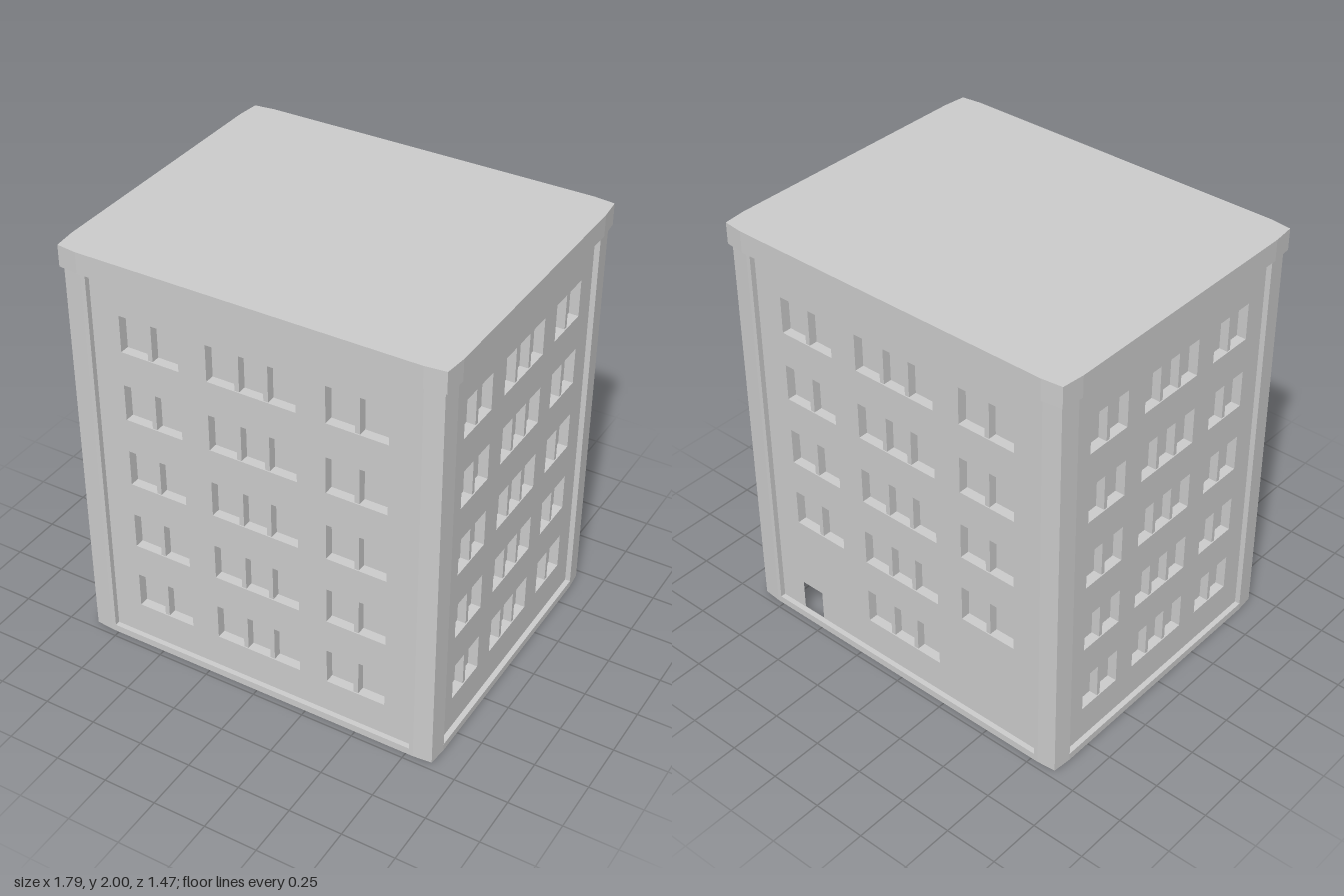
import * as THREE from 'three';
import { mergeGeometries } from 'three/addons/utils/BufferGeometryUtils.js';

const material = new THREE.MeshStandardMaterial({ color: 0xcccccc, side: THREE.DoubleSide });

const HX = 0.88, HZ = 0.72;       // outer half sizes of the walls
const EAVE = 1.9, TOP = 2;        // underside and top of the roof slab
const BASE = 0.035;               // plinth height
const INSET = 0.025;              // panel set back behind the corner piers
const REVEAL = 0.045;             // window depth
const FLOORS = 5, SILL = 0.2, PITCH = 0.339, WIN_H = 0.175;

function mesh(name, geometry) {
  const m = new THREE.Mesh(geometry, material);
  m.name = name;
  return m;
}

function rectPath(Type, x0, x1, y0, y1) {
  return new Type([[x0, y0], [x1, y0], [x1, y1], [x0, y1]].map(([x, y]) => new THREE.Vector2(x, y)));
}

// Upright sheet following a plan path of [x, z] points
function sheet(path, y0, y1) {
  const pos = [];
  for (let i = 0; i < path.length - 1; i++) {
    const [ax, az] = path[i], [bx, bz] = path[i + 1];
    pos.push(ax, y0, az, bx, y0, bz, bx, y1, bz, ax, y0, az, bx, y1, bz, ax, y1, az);
  }
  const g = new THREE.BufferGeometry();
  g.setAttribute('position', new THREE.Float32BufferAttribute(pos, 3));
  g.computeVertexNormals();
  return g;
}

// Box open towards +z
function openBox(w, h, d) {
  const g = new THREE.BoxGeometry(w, h, d);
  const index = Array.from(g.index.array);
  index.splice(24, 6);
  g.setIndex(index);
  g.clearGroups();
  return g;
}

// One facade facing +z: plinth, set-back panel, window recesses and mullions
function facade(name, half, depth, windows, door) {
  const group = new THREE.Group();
  group.name = name;
  const z = depth - INSET;
  const panel = rectPath(THREE.Shape, -half, half, BASE, EAVE);
  const recesses = [], mullions = [];

  for (let f = 0; f < FLOORS; f++) {
    const y0 = SILL + f * PITCH, yc = y0 + WIN_H / 2;
    for (const { x, w, bars, barWidth } of windows) {
      if (door && f === 0 && x !== 0) continue;
      panel.holes.push(rectPath(THREE.Path, x - w / 2, x + w / 2, y0, y0 + WIN_H));
      recesses.push(openBox(w, WIN_H, REVEAL).translate(x, yc, z - REVEAL / 2));
      for (const b of bars) {
        mullions.push(new THREE.BoxGeometry(barWidth, WIN_H, REVEAL - 0.005)
          .translate(x + b, yc, z - REVEAL / 2 - 0.0025));
      }
    }
  }
  if (door) panel.holes.push(rectPath(THREE.Path, door.x0, door.x1, BASE + 0.003, door.top));

  const plinthFace = new THREE.PlaneGeometry(2 * half, BASE).translate(0, BASE / 2, depth);
  const plinthLedge = new THREE.PlaneGeometry(2 * half, INSET).rotateX(-Math.PI / 2)
    .translate(0, BASE, depth - INSET / 2);

  group.add(
    mesh('wallPanel', new THREE.ShapeGeometry(panel).translate(0, 0, z)),
    mesh('windowRecesses', mergeGeometries(recesses)),
    mesh('windowMullions', mergeGeometries(mullions)),
    mesh('plinth', mergeGeometries([plinthFace, plinthLedge]))
  );
  return group;
}

// Side, middle, side window columns
function windowRow(sideX, sideW, midW, midBar, barWidth) {
  return [
    { x: -sideX, w: sideW, bars: [0], barWidth },
    { x: 0, w: midW, bars: [-midBar, midBar], barWidth },
    { x: sideX, w: sideW, bars: [0], barWidth }
  ];
}

export function createModel() {
  const model = new THREE.Group();
  model.name = 'apartmentBlock';

  // Facades
  const longHalf = 0.765, shortHalf = 0.622;
  const longRow = windowRow(0.487, 0.283, 0.42, 0.068, 0.022);
  const shortRow = windowRow(0.398, 0.23, 0.346, 0.06, 0.019);
  const front = facade('frontFacade', longHalf, HZ, longRow);
  const back = facade('backFacade', longHalf, HZ, longRow, { x0: -0.628, x1: -0.51, top: 0.185 });
  const left = facade('leftFacade', shortHalf, HX, shortRow);
  const right = facade('rightFacade', shortHalf, HX, shortRow);
  back.rotation.y = Math.PI;
  left.rotation.y = Math.PI / 2;
  right.rotation.y = -Math.PI / 2;
  model.add(front, back, left, right);

  // Corner piers, slightly tapered in plan
  const pier = [
    [longHalf, HZ - INSET], [longHalf, HZ], [0.785, HZ], [0.872, 0.712],
    [HX, shortHalf], [HX - INSET, shortHalf]
  ];
  for (const sx of [-1, 1]) {
    for (const sz of [-1, 1]) {
      const path = pier.map(([x, z]) => [x * sx, z * sz]);
      if (sx * sz < 0) path.reverse();
      model.add(mesh('cornerPier', sheet(path, 0, EAVE)));
    }
  }

  // Roof slab with the same softened corners
  const corner = [[0.895, 0.62], [0.885, 0.726], [0.79, 0.737]];
  const mirrored = corner.map(([x, z]) => [-x, z]).reverse();
  const halfOutline = [...corner, ...mirrored];
  const outline = [...halfOutline, ...halfOutline.map(([x, z]) => [-x, -z])];
  const slab = new THREE.ExtrudeGeometry(
    new THREE.Shape(outline.map(([x, z]) => new THREE.Vector2(x, z))),
    { depth: TOP - EAVE, bevelEnabled: false }
  );
  slab.rotateX(-Math.PI / 2).translate(0, EAVE, 0);
  model.add(mesh('roofSlab', slab));

  return model;
}
